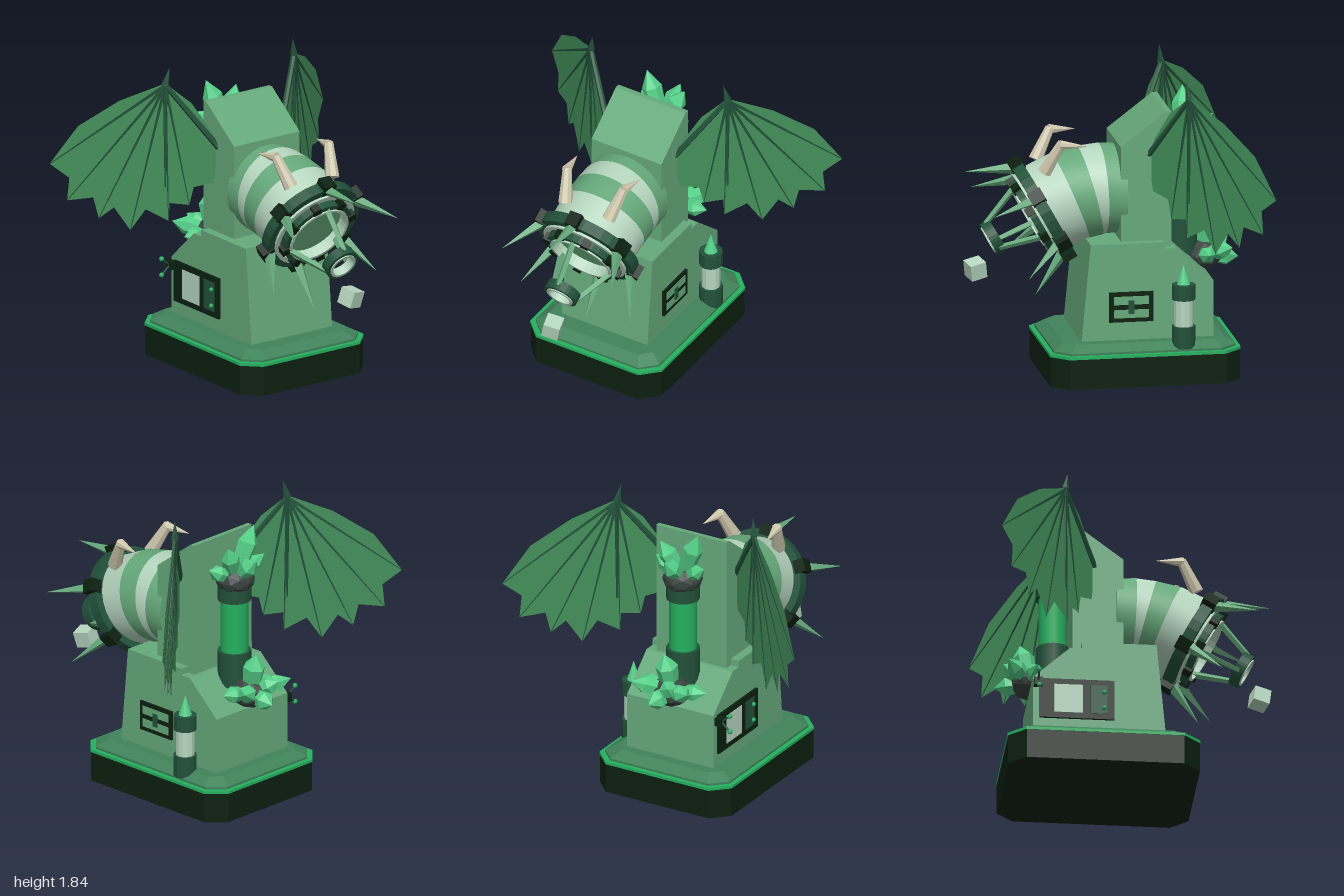
import * as THREE from 'three';
import { ConvexGeometry } from 'three/addons/geometries/ConvexGeometry.js';

const mat = (name, color, side = THREE.FrontSide) =>
  Object.assign(new THREE.MeshStandardMaterial({ color, side }), { name });
const M = {
  body: mat('body green', 0x66a97b),
  pale: mat('pale green', 0xb6d6bf),
  dark: mat('dark green', 0x22513a),
  black: mat('blackish green', 0x0c2010),
  trim: mat('bright trim', 0x25b05f),
  wing: mat('wing green', 0x438f5a, THREE.DoubleSide),
  crystal: mat('crystal green', 0x55d088),
  rock: mat('rock grey', 0x39433f),
  horn: mat('horn cream', 0xcfc8ae),
  plinth: mat('plinth green', 0x40825a),
};
const V = (x, y, z) => new THREE.Vector3(x, y, z);

function add(parent, name, geo, material, pos) {
  const mesh = new THREE.Mesh(geo, material);
  mesh.name = name;
  if (pos) mesh.position.set(...pos);
  parent.add(mesh);
  return mesh;
}
function flat(geo) {
  const g = geo.index ? geo.toNonIndexed() : geo;
  g.computeVertexNormals();
  return g;
}
const box = (w, h, d) => new THREE.BoxGeometry(w, h, d);

// Tapered rod between two points
function rod(parent, name, a, b, r1, r2, sides, material) {
  const d = b.clone().sub(a);
  const m = add(parent, name, flat(new THREE.CylinderGeometry(r2, r1, d.length(), sides)), material);
  m.position.copy(a).addScaledVector(d, 0.5);
  m.quaternion.setFromUnitVectors(V(0, 1, 0), d.normalize());
  return m;
}
// Profile of [z, y] points extruded across x
function slab(profile, width) {
  const s = new THREE.Shape(profile.map(p => new THREE.Vector2(...p)));
  return new THREE.ExtrudeGeometry(s, { depth: width, bevelEnabled: false })
    .rotateY(-Math.PI / 2).translate(width / 2, 0, 0);
}
// Eight-sided base layer, each level being [y, inset]
function octagon(...levels) {
  const pts = [];
  for (const [y, i] of levels) {
    const x = 0.45 - i, z = 0.565 - i, c = 0.1 - i * 0.4;
    for (const sx of [-1, 1]) for (const sz of [-1, 1])
      pts.push(V(sx * x, y, sz * (z - c) - 0.205), V(sx * (x - c), y, sz * z - 0.205));
  }
  return new ConvexGeometry(pts);
}
// Square-section ring around the local z axis
function ring(ri, ro, z0, z1) {
  const p = [[ri, z0], [ro, z0], [ro, z1], [ri, z1], [ri, z0]].map(q => new THREE.Vector2(...q));
  return flat(new THREE.LatheGeometry(p, 32)).rotateX(Math.PI / 2);
}
// Barrel stripe between two stations [z, y, tilt, radius]
function stripe(a, b) {
  const g = new THREE.CylinderGeometry(1, 1, 1, 32);
  const p = g.attributes.position;
  for (let i = 0; i < p.count; i++) {
    const [z, y, t, r] = p.getY(i) > 0 ? b : a;
    const up = -p.getZ(i) * r;
    p.setXYZ(i, p.getX(i) * r, y + up * Math.cos(t), z + up * Math.sin(t));
  }
  g.computeVertexNormals();
  return g;
}

function crystalCluster(name, pos, list) {
  const g = new THREE.Group();
  g.name = name;
  g.position.set(...pos);
  add(g, 'rock', flat(new THREE.IcosahedronGeometry(0.12, 1)), M.rock).scale.set(1, 0.75, 1);
  for (const [x, y, z, len, r] of list) {
    const p = [[0, 0], [r * 0.7, 0.01], [r, len * 0.68], [0, len]].map(q => new THREE.Vector2(...q));
    const c = add(g, 'crystal', flat(new THREE.LatheGeometry(p, 6)), M.crystal);
    c.quaternion.setFromUnitVectors(V(0, 1, 0), V(x, y, z).normalize());
  }
  return g;
}

function wing(s) {
  const g = new THREE.Group();
  g.name = s > 0 ? 'leftWing' : 'rightWing';
  const outline = [[0.47, 1.74], [0.68, 1.63], [0.87, 1.47], [1, 1.235], [0.91, 1.15], [0.92, 1.01],
    [0.8, 1.03], [0.775, 0.9], [0.705, 0.97], [0.63, 0.83], [0.56, 0.96], [0.455, 0.89], [0.45, 1],
    [0.36, 0.99], [0.34, 1.1], [0.25, 1.13], [0.22, 1.32], [0.26, 1.45], [0.35, 1.62]];
  const at = (x, y) => V(s * x, y, -0.07 - 0.8 * x);
  const geo = new THREE.ShapeGeometry(new THREE.Shape(outline.map(p => new THREE.Vector2(s * p[0], p[1]))));
  const pos = geo.attributes.position;
  for (let i = 0; i < pos.count; i++) pos.setZ(i, -0.07 - 0.8 * Math.abs(pos.getX(i)));
  geo.computeVertexNormals();
  add(g, 'membrane', geo, M.wing);
  const joint = at(0.47, 1.73);
  for (const i of [3, 5, 7, 9, 11, 13])
    rod(g, 'wingBone', joint, at(...outline[i]), 0.012, 0.003, 4, M.dark);
  rod(g, 'wingPost', joint, at(0.47, 1.1), 0.016, 0.005, 5, M.dark);
  rod(g, 'wingArm', at(0.22, 1.34), joint, 0.02, 0.016, 6, M.dark);
  rod(g, 'wingClaw', joint, V(s * 0.45, 1.84, -0.43), 0.024, 0, 5, M.dark);
  return g;
}

function muzzle() {
  const g = new THREE.Group();
  g.name = 'muzzle';
  g.position.set(0, 0.99, 0.35);
  g.rotation.x = 0.506;
  add(g, 'outerRing', ring(0.255, 0.315, -0.035, 0.035), M.dark);
  add(g, 'paleRing', ring(0.24, 0.27, 0, 0.05), M.pale);
  add(g, 'mouthDisc', new THREE.CircleGeometry(0.25, 32), M.body, [0, 0, 0.03]);
  add(g, 'innerRing', ring(0.195, 0.23, 0.02, 0.09), M.dark);
  add(g, 'innerRim', ring(0.185, 0.2, 0.02, 0.1), M.pale);
  // Studs with spikes
  for (let i = 0; i < 6; i++) {
    const a = i * Math.PI / 3, x = Math.sin(a), y = Math.cos(a);
    add(g, 'stud', box(0.08, 0.07, 0.085), M.black, [x * 0.315, y * 0.315, 0]).rotation.z = -a;
    rod(g, 'spike', V(x * 0.3, y * 0.3, 0.02), V(x * 0.437, y * 0.437, 0.285), 0.036, 0, 4, M.body);
  }
  for (let i = 0; i < 8; i++) {
    const a = (i + 0.5) * Math.PI / 4;
    add(g, 'innerStud', box(0.05, 0.045, 0.05), M.black, [Math.sin(a) * 0.228, Math.cos(a) * 0.228, 0.075])
      .rotation.z = -a;
  }
  // Nozzle on three struts
  for (let i = 0; i < 3; i++) {
    const a = i * Math.PI * 2 / 3, x = Math.sin(a), y = Math.cos(a);
    rod(g, 'strut', V(x * 0.2, y * 0.2, 0.07), V(x * 0.095, y * 0.095, 0.33), 0.021, 0.017, 4, M.body);
  }
  add(g, 'nozzle', ring(0.08, 0.105, 0.3, 0.36), M.dark);
  add(g, 'nozzleRim', ring(0.07, 0.085, 0.31, 0.367), M.pale);
  return g;
}

function canister() {
  const g = new THREE.Group();
  g.name = 'canister';
  g.position.set(0.365, 0, -0.43);
  const part = (name, r0, r1, y0, y1, m) =>
    add(g, name, flat(new THREE.CylinderGeometry(r1, r0, y1 - y0, 12)), m, [0, (y0 + y1) / 2, 0]);
  part('canisterFoot', 0.07, 0.07, 0.21, 0.34, M.dark);
  part('canisterTube', 0.056, 0.056, 0.34, 0.5, M.pale);
  part('canisterCap', 0.07, 0.07, 0.5, 0.59, M.dark);
  part('canisterTip', 0.04, 0, 0.59, 0.71, M.crystal);
  return g;
}

export function createModel() {
  const g = new THREE.Group();
  g.name = 'hornedCannon';

  // Stepped base
  add(g, 'base', octagon([0, 0], [0.18, 0]), M.black);
  add(g, 'baseTrim', octagon([0.18, -0.003], [0.197, -0.003]), M.trim);
  add(g, 'plinth', octagon([0.197, 0.025], [0.21, 0.025], [0.25, 0.09]), M.plinth);

  // Housing and sloped tower
  add(g, 'housing', slab([[0.165, 0.25], [0.11, 0.83], [-0.33, 0.83], [-0.33, 0.79], [-0.4, 0.79],
    [-0.62, 0.59], [-0.62, 0.25]], 0.59), M.body);
  add(g, 'tower', slab([[-0.08, 0.8], [-0.08, 1.4], [-0.35, 1.605], [-0.38, 1.605], [-0.38, 0.75]], 0.48), M.body);

  // Striped bent barrel
  const st = [[-0.12, 1.1, 0, 0.262], [-0.005, 1.1, 0.04, 0.268], [0.065, 1.09, 0.25, 0.272],
    [0.18, 1.065, 0.39, 0.275], [0.345, 0.995, 0.506, 0.268]];
  for (let i = 0; i < 4; i++) add(g, 'barrelStripe', stripe(st[i], st[i + 1]), i % 2 ? M.pale : M.body);
  g.add(muzzle());

  // Mirrored horns and wings
  for (const s of [-1, 1]) {
    rod(g, 'horn', V(s * 0.15, 1.25, 0.36), V(s * 0.195, 1.43, 0.265), 0.043, 0.028, 8, M.horn);
    rod(g, 'hornTip', V(s * 0.193, 1.42, 0.275), V(s * 0.22, 1.41, 0.11), 0.031, 0, 8, M.horn);
    g.add(wing(s));
  }

  // Loose block in front of the nozzle
  add(g, 'shotBlock', box(0.1, 0.1, 0.1), M.pale, [0, 0.645, 0.745]).rotation.set(0.2, 0.25, -0.25);

  // Rear tank
  const tank = (name, r, y0, y1, m) =>
    add(g, name, new THREE.CylinderGeometry(r, r, y1 - y0, 16), m, [0, (y0 + y1) / 2, -0.475]);
  tank('tankFoot', 0.1, 0.7, 0.91, M.dark);
  tank('tankGlass', 0.082, 0.91, 1.23, M.trim);
  tank('tankCap', 0.1, 1.23, 1.33, M.dark);
  g.add(crystalCluster('upperCrystals', [0, 1.36, -0.48], [[-0.4, 1, -0.1, 0.34, 0.06],
    [0.5, 1, -0.25, 0.27, 0.055], [0.05, 0.8, -0.9, 0.25, 0.055], [-0.9, 0.6, -0.3, 0.23, 0.045],
    [0.9, 0.45, 0.1, 0.22, 0.05]]));
  g.add(crystalCluster('lowerCrystals', [0, 0.68, -0.61], [[0.05, 1, -0.22, 0.26, 0.068],
    [-0.8, 0.3, -0.6, 0.25, 0.055], [0.8, 0.3, -0.6, 0.25, 0.055], [0.15, -0.1, -1, 0.21, 0.06],
    [-0.35, 0.45, -0.8, 0.2, 0.055], [0.95, 0.15, 0, 0.23, 0.05], [-0.95, 0.1, 0.1, 0.23, 0.05]]));

  // Canister and window on the left side
  g.add(canister());
  add(g, 'windowFrame', box(0.02, 0.18, 0.26), M.black, [0.298, 0.45, -0.13]);
  for (const y of [0.41, 0.49])
    add(g, 'windowPane', box(0.006, 0.05, 0.21), M.body, [0.308, y, -0.13]);
  add(g, 'windowLatch', box(0.012, 0.08, 0.035), M.dark, [0.31, 0.45, -0.13]);

  // Control panel with levers on the right side
  add(g, 'panelFrame', box(0.02, 0.25, 0.44), M.black, [-0.3, 0.455, -0.36]);
  add(g, 'panelPane', box(0.006, 0.18, 0.17), M.pale, [-0.31, 0.455, -0.41]);
  add(g, 'panelSide', box(0.006, 0.18, 0.1), M.dark, [-0.31, 0.455, -0.23]);
  for (const y of [0.4, 0.5])
    add(g, 'panelButton', new THREE.SphereGeometry(0.014, 10, 8), M.trim, [-0.317, y, -0.2]);
  add(g, 'leverBox', box(0.04, 0.05, 0.05), M.black, [-0.32, 0.55, -0.59]);
  for (const y of [0.5, 0.6]) {
    rod(g, 'lever', V(-0.33, 0.55, -0.59), V(-0.39, y, -0.59), 0.006, 0.006, 6, M.dark);
    add(g, 'leverKnob', new THREE.SphereGeometry(0.015, 10, 8), M.trim, [-0.39, y, -0.59]);
  }
  return g;
}
